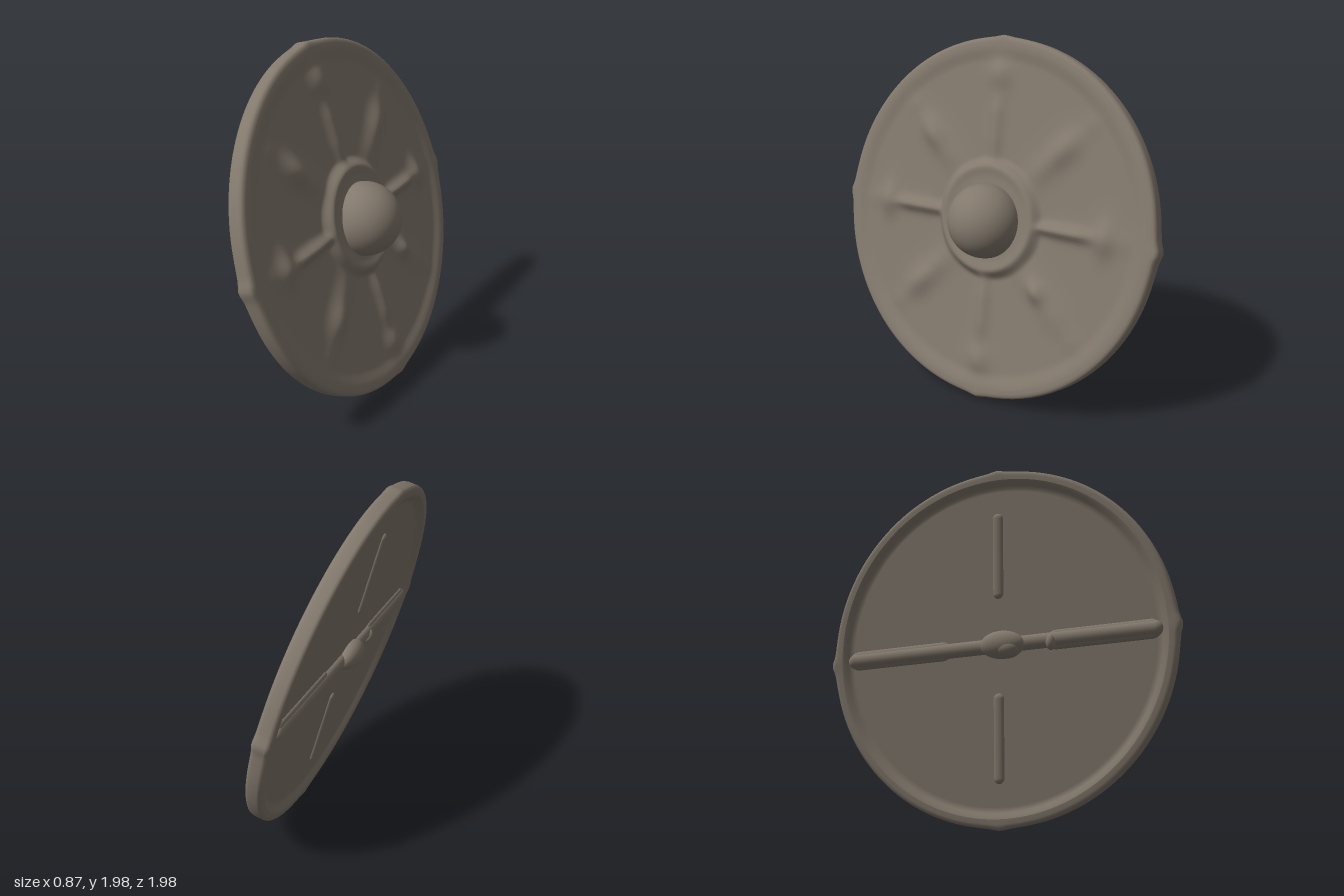
import * as THREE from 'three';
import { mergeVertices } from 'three/addons/utils/BufferGeometryUtils.js';

const SEG = 240, R = 1.01, RIM_IN = 0.96;
const FACE = 0.024, FRONT = 0.04, BACK = -0.056, BACK_FACE = -0.026;
const smooth = THREE.MathUtils.smoothstep;
const rad = THREE.MathUtils.degToRad;
const gauss = (x, w) => Math.exp(-(x * x) / (w * w));
const band = (s, a, b, soft) => smooth(s, a - soft, a + soft) * (1 - smooth(s, b - soft, b + soft));

// Spokes cast on the front: [angle, ridge width, height, end, lump position, lump height, along, across]
const SPOKES = [
  [-3, 0.032, 0.034, 0.64, 0.72, 0.03, 0.06, 0.1],
  [177, 0.032, 0.034, 0.64, 0.72, 0.03, 0.06, 0.1],
  [90, 0.042, 0.02, 0.66, 0.8, 0.022, 0.08, 0.08],
  [270, 0.042, 0.02, 0.66, 0.8, 0.022, 0.08, 0.08],
  [43, 0.085, 0.014, 0.72, 0.6, 0.014, 0.1, 0.07],
  [133, 0.085, 0.012, 0.72, 0.6, 0.022, 0.09, 0.06],
  [223, 0.085, 0.014, 0.72, 0.6, 0.016, 0.09, 0.07],
  [313, 0.085, 0.01, 0.72, 0.5, 0.028, 0.06, 0.05],
];

// Height of the front face at a polar position
function frontHeight(r, a) {
  let h = FACE + (FRONT - FACE) * smooth(r, 0.87, RIM_IN);
  for (const [deg, w, ridge, end, at, lump, along, across] of SPOKES) {
    const s = r * Math.cos(a - rad(deg)), t = r * Math.sin(a - rad(deg));
    if (s <= 0) continue;
    h += ridge * gauss(t, w) * band(s, 0.28, end, 0.08);
    h += lump * gauss(s - at, along) * gauss(t, across);
    h += 0.008 * gauss(t, 0.06) * band(s, 0.4, 0.87, 0.06);
  }
  // Raised collar around the dome, with a rounded outer ring
  const collar = 1 - smooth(r, 0.29, 0.35);
  const collarHeight = 0.062 + 0.01 * gauss(r - 0.29, 0.035);
  return THREE.MathUtils.lerp(h, Math.max(h, collarHeight), collar);
}

// The disc is very slightly oval
const oval = (a) => 1 + 0.014 * Math.cos(2 * (a - rad(133)));

// Small points where the four main spokes meet the rim
function rimSpike(a) {
  let s = 0;
  for (const [deg, size] of [[-4, 0.022], [176, 0.02], [90, 0.012], [270, 0.012]]) {
    const d = Math.atan2(Math.sin(a - rad(deg)), Math.cos(a - rad(deg)));
    s += size * (0.65 * gauss(d, 0.035) + 0.35 * gauss(d, 0.09));
  }
  return s;
}

// Revolve a profile, then reshape each vertex by a rule of radius and angle
function turned(points, rule) {
  let g = new THREE.LatheGeometry(points.map(([r, y]) => new THREE.Vector2(r, y)), SEG);
  g.deleteAttribute('uv');
  g.deleteAttribute('normal');
  g = mergeVertices(g, 1e-5);
  const p = g.attributes.position;
  for (let i = 0; i < p.count; i++) {
    const x = p.getX(i), y = p.getY(i), z = p.getZ(i);
    const r = Math.hypot(x, z), a = Math.atan2(-z, x);
    const [nr, ny] = rule(r, a, y);
    const k = r > 1e-6 ? nr / r : 1;
    p.setXYZ(i, x * k, ny, z * k);
  }
  g.computeVertexNormals();
  return g;
}

export function createModel() {
  const model = new THREE.Group();
  model.name = 'roundShield';
  const shield = new THREE.Group();
  shield.name = 'tiltedShield';
  const metal = new THREE.MeshStandardMaterial({ color: 0x82786c });
  metal.name = 'dull bronze';

  const add = (name, geometry, x = 0, y = 0, z = 0) => {
    const m = new THREE.Mesh(geometry, metal);
    m.name = name;
    m.position.set(x, y, z);
    shield.add(m);
    return m;
  };

  // Front face with spokes and collar
  const front = [];
  for (let i = 0; i <= 84; i++) front.push([RIM_IN * (1 - i / 84), 0]);
  add('frontFace', turned(front, (r, a) => [r * oval(a), frontHeight(r, a)]));

  // Back face, sunk inside a lip
  const back = [];
  for (let i = 0; i <= 60; i++) back.push([RIM_IN * i / 60, 0]);
  add('backFace', turned(back, (r, a) =>
    [r * oval(a), BACK_FACE + (BACK - BACK_FACE) * smooth(r, 0.91, RIM_IN)]));

  // Rim with a flat side and softened edges
  const rim = [
    [RIM_IN, BACK], [0.985, BACK], [R - 0.012, BACK + 0.003], [R - 0.003, BACK + 0.011],
    [R, BACK + 0.022], [R, -0.01], [R, FRONT - 0.025], [R - 0.004, FRONT - 0.012],
    [R - 0.014, FRONT - 0.003], [0.98, FRONT], [RIM_IN, FRONT],
  ];
  add('rim', turned(rim, (r, a, y) => {
    const k = smooth(r, RIM_IN, R);
    return [r * oval(a) + rimSpike(a) * k, y * (1 + 5 * k * rimSpike(a))];
  }));

  // Central dome
  add('dome', new THREE.SphereGeometry(0.21, 64, 40, 0, Math.PI * 2, 0, Math.PI * 0.6), 0, 0.073, 0.012);

  // Bars across the back: flattened capsules lying on the face
  const bar = (name, length, width, height, x, z, turn) => {
    const g = new THREE.CapsuleGeometry(0.5, length / width - 1, 10, 24);
    g.rotateZ(Math.PI / 2);
    g.scale(width, height * 2, width);
    add(name, g, x, BACK_FACE, z).rotation.y = turn;
  };
  bar('backCrossBar', 1.86, 0.085, 0.036, 0, 0, rad(-3));
  for (const s of [-1, 1]) {
    bar('backUprightBar', 0.5, 0.06, 0.018, 0, s * 0.52, Math.PI / 2);
    bar('backBarPlate', 0.64, 0.11, 0.024, s * 0.6, s * 0.03, rad(-3));
  }

  // Grip lump and small stud on the cross bar
  const knob = (name, x, y, z, sx, sy, sz) =>
    add(name, new THREE.SphereGeometry(1, 32, 24), x, y, z).scale.set(sx, sy, sz);
  knob('grip', -0.03, -0.05, 0, 0.13, 0.065, 0.08);
  knob('gripSwell', -0.06, -0.06, 0.025, 0.08, 0.055, 0.055);
  knob('stud', -0.31, -0.05, 0.0, 0.028, 0.03, 0.045);

  // Lean the shield: local y is its facing direction
  const n = new THREE.Vector3(1, 0.28, 0.32).normalize();
  const up = new THREE.Vector3(-0.28, 1, 0).normalize();
  const side = new THREE.Vector3().crossVectors(up, n);
  shield.quaternion.setFromRotationMatrix(new THREE.Matrix4().makeBasis(side, n, up.negate()));
  model.add(shield);

  // Stand on the ground, centred
  model.updateMatrixWorld(true);
  const box = new THREE.Box3().setFromObject(model, true);
  const c = box.getCenter(new THREE.Vector3());
  shield.position.set(-c.x, -box.min.y, -c.z);
  return model;
}
